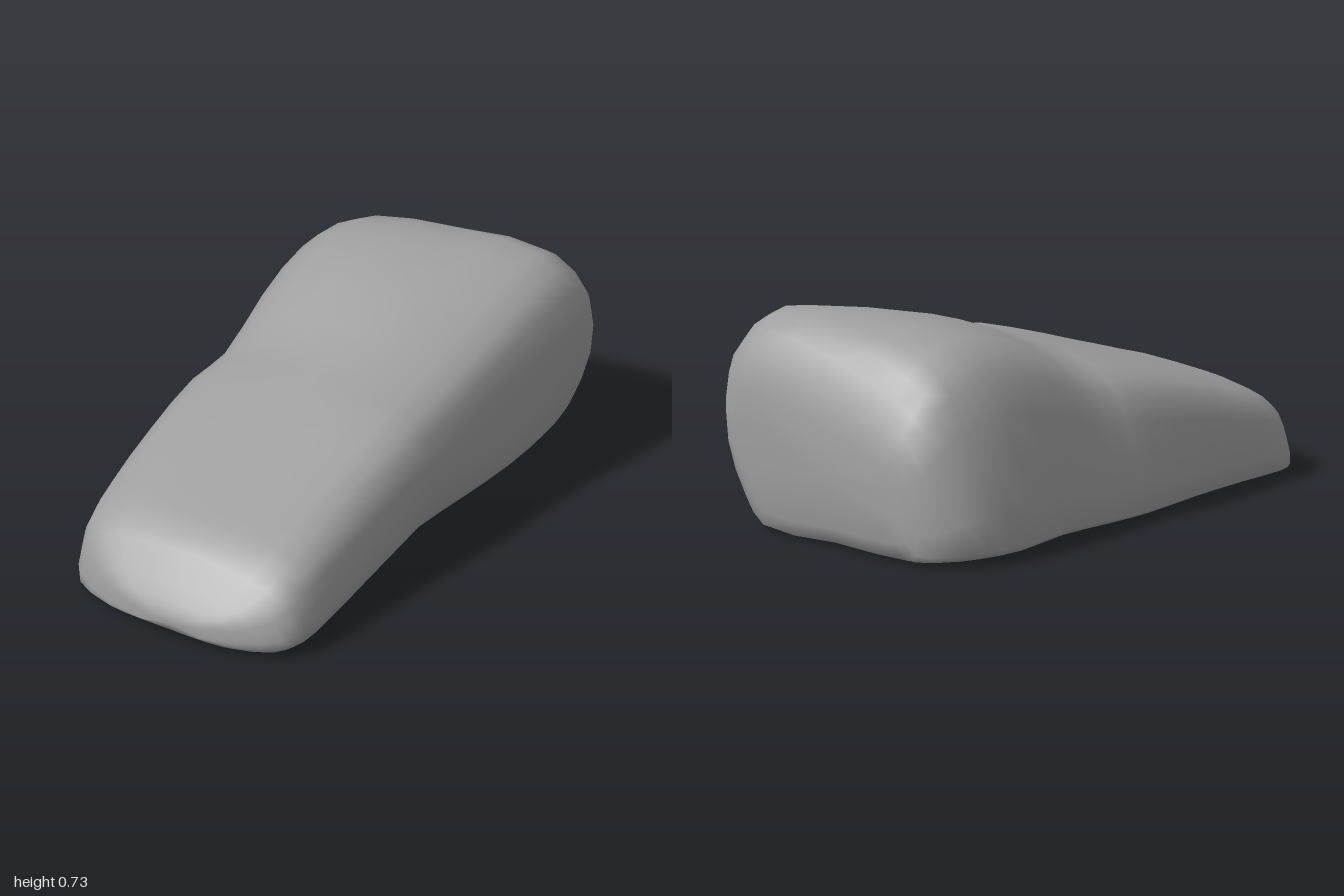
import * as THREE from 'three';

// Stations from back to front:
// z, low left x, shoulder left x, low right x, waist right x, shoulder right x,
// top y at left, middle and right, base y
const stations = [
  [-0.985, -0.36, -0.28, 0.31, 0.36, 0.33, 0.30, 0.37, 0.42, 0.13],
  [-0.965, -0.46, -0.39, 0.35, 0.435, 0.43, 0.40, 0.48, 0.54, 0.02],
  [-0.90, -0.55, -0.43, 0.41, 0.485, 0.48, 0.53, 0.63, 0.66, 0.01],
  [-0.78, -0.61, -0.435, 0.45, 0.505, 0.50, 0.66, 0.715, 0.725, 0.01],
  [-0.56, -0.59, -0.435, 0.47, 0.505, 0.50, 0.70, 0.725, 0.67, 0.0],
  [-0.30, -0.515, -0.41, 0.47, 0.505, 0.50, 0.625, 0.655, 0.59, 0.0],
  [-0.05, -0.49, -0.38, 0.47, 0.53, 0.515, 0.505, 0.56, 0.53, 0.0],
  [0.12, -0.47, -0.385, 0.50, 0.545, 0.53, 0.48, 0.51, 0.505, 0.0],
  [0.40, -0.40, -0.355, 0.545, 0.57, 0.53, 0.41, 0.425, 0.415, 0.0],
  [0.65, -0.35, -0.32, 0.585, 0.585, 0.545, 0.33, 0.345, 0.335, 0.0],
  [0.82, -0.32, -0.28, 0.60, 0.595, 0.545, 0.265, 0.287, 0.27, 0.0],
  [0.90, -0.27, -0.21, 0.565, 0.55, 0.50, 0.19, 0.21, 0.19, 0.005],
  [0.97, -0.11, -0.07, 0.43, 0.42, 0.39, 0.115, 0.125, 0.115, 0.015],
  [1.0, 0.05, 0.08, 0.30, 0.29, 0.27, 0.07, 0.075, 0.07, 0.03],
];

// Two steps per control point keep a slightly faceted outline
const AROUND = 24;
const ALONG = (stations.length - 1) * 2;

// Rounded four-sided outline of one station
function sectionRing([z, bl, tl, br, wr, tr, hl, hm, hr, b]) {
  const w = br - bl;
  const skew = THREE.MathUtils.smoothstep(-z, 0.4, 0.95) * 0.045;
  const at = (x, y) => new THREE.Vector3(x, y, z - skew * x);
  const up = (h, t) => b + (h - b) * t;
  const points = [
    at((bl + br) / 2, b),
    at(br - w * 0.1, b),
    at(br, up(hr, 0.16)),
    at(wr, up(hr, 0.5)),
    at(tr, up(hr, 0.84)),
    at(tr - w * 0.13, hr),
    at((tl + tr) / 2, hm),
    at(tl + w * 0.14, hl),
    at(tl, up(hl, 0.84)),
    at(bl * 0.5 + tl * 0.5 - 0.02 * w, up(hl, 0.46)),
    at(bl, up(hl, 0.06)),
    at(bl + w * 0.1, b),
  ];
  const curve = new THREE.CatmullRomCurve3(points, true, 'centripetal');
  return Array.from({ length: AROUND }, (_, i) => curve.getPoint(i / AROUND));
}

// Smooth skin through the stations, closed by a fan at each end
function createBody() {
  const rings = stations.map(sectionRing);
  const rails = Array.from({ length: AROUND }, (_, i) =>
    new THREE.CatmullRomCurve3(rings.map((ring) => ring[i]), false, 'centripetal'));
  const positions = [];
  const indices = [];

  for (let j = 0; j <= ALONG; j++) {
    for (const rail of rails) {
      const p = rail.getPoint(j / ALONG);
      positions.push(p.x, Math.max(0, p.y), THREE.MathUtils.clamp(p.z, -1, 1));
    }
  }
  for (let j = 0; j < ALONG; j++) {
    for (let i = 0; i < AROUND; i++) {
      const n = (i + 1) % AROUND;
      const a = j * AROUND + i, b = j * AROUND + n;
      const c = a + AROUND, d = b + AROUND;
      indices.push(a, b, d, a, d, c);
    }
  }
  for (const [j, front] of [[0, false], [ALONG, true]]) {
    const start = j * AROUND;
    const centre = new THREE.Vector3();
    for (let i = 0; i < AROUND; i++) {
      centre.add(new THREE.Vector3().fromArray(positions, (start + i) * 3));
    }
    centre.divideScalar(AROUND);
    const hub = positions.length / 3;
    positions.push(centre.x, centre.y, front ? 1 : -1);
    for (let i = 0; i < AROUND; i++) {
      const a = start + i, b = start + (i + 1) % AROUND;
      if (front) indices.push(hub, a, b);
      else indices.push(hub, b, a);
    }
  }

  const geometry = new THREE.BufferGeometry();
  geometry.setAttribute('position', new THREE.Float32BufferAttribute(positions, 3));
  geometry.setIndex(indices);
  geometry.computeVertexNormals();
  return geometry;
}

export function createModel() {
  const group = new THREE.Group();
  group.name = 'rock';
  const material = new THREE.MeshStandardMaterial({ color: 0x9e9e9e });
  const body = new THREE.Mesh(createBody(), material);
  body.name = 'rockBody';
  group.add(body);
  return group;
}
